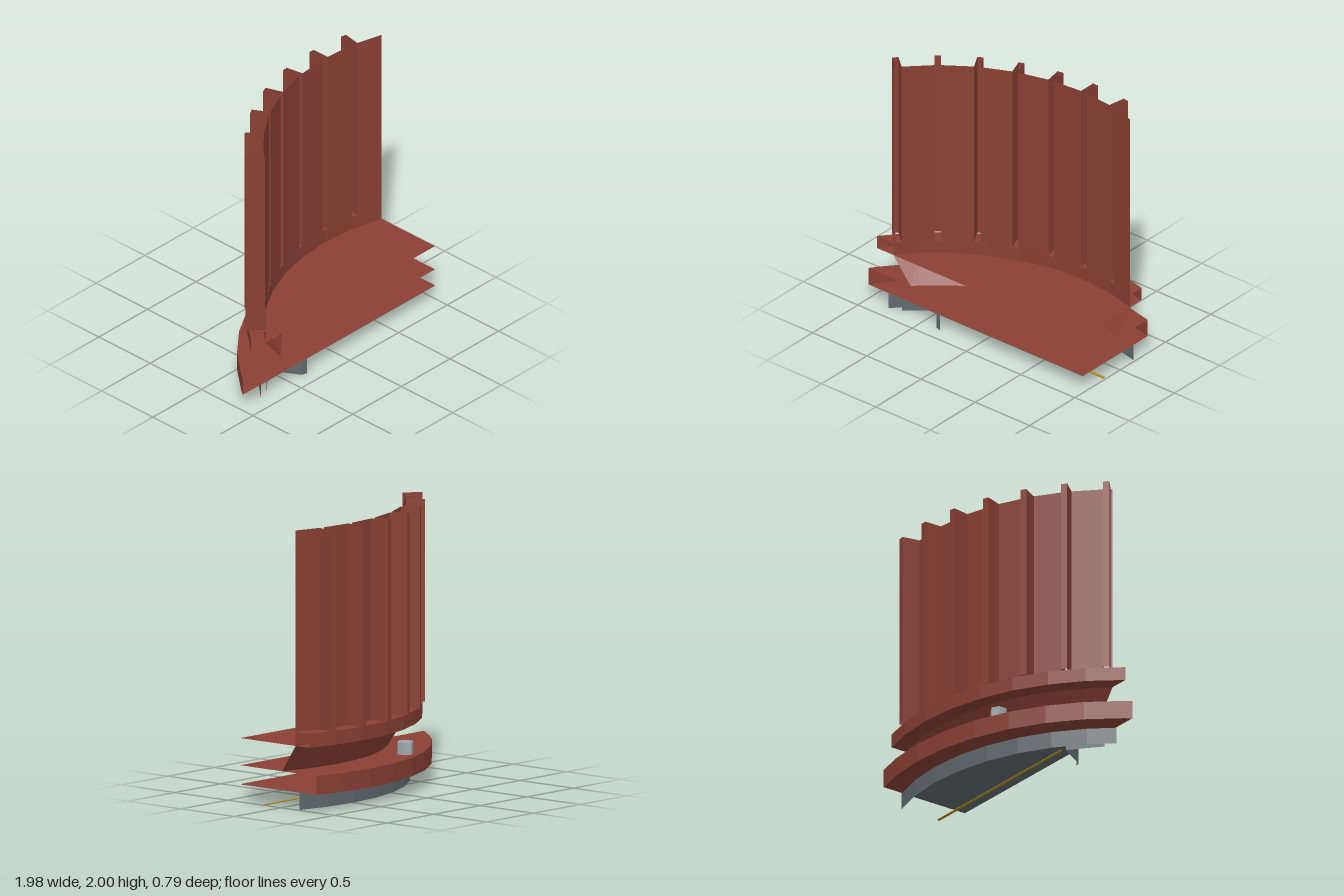
import * as THREE from 'three';

// Plan layout: arcs about (CX, CZ), cut off by the planes x = CUT_X and z = CUT_Z
const CX = 0.49, CZ = 1.395, CUT_X = 0.985, CUT_Z = 0.395;
const STEP = Math.PI / 20;

const mat = (color) => new THREE.MeshStandardMaterial({ color, flatShading: true, side: THREE.DoubleSide });

// Point at radius r and angle t, shifted by s along the tangent
const polar = (r, t, s = 0) => [CX - r * Math.sin(t) - s * Math.cos(t), CZ - r * Math.cos(t) + s * Math.sin(t)];
const startAngle = (r) => -Math.asin((CUT_X - CX) / r);
const endAngle = (r) => Math.acos((CZ - CUT_Z) / r);

// Faceted arc of radius r between the two cuts
function arc(r) {
  const pts = [polar(r, startAngle(r))];
  for (let k = -1; k <= 6; k++) if (k < 6 || endAngle(r) > 6.1 * STEP) pts.push(polar(r, k * STEP));
  pts.push(polar(r, endAngle(r)));
  return pts;
}

// Sheet spanning two plan polylines at heights y0 and y1
function sheet(a, y0, b, y1) {
  const pos = [], index = [];
  a.forEach(([x, z], i) => {
    pos.push(x, y0, z, b[i][0], y1, b[i][1]);
    if (i) {
      const n = 2 * i;
      index.push(n - 2, n, n - 1, n, n + 1, n - 1);
    }
  });
  const g = new THREE.BufferGeometry();
  g.setAttribute('position', new THREE.Float32BufferAttribute(pos, 3));
  g.setIndex(index);
  const flat = g.toNonIndexed();
  flat.computeVertexNormals();
  return flat;
}

// Flat floor filling the plan inside an arc
function disc(r, y) {
  const pts = [...arc(r), [CUT_X, CUT_Z]].map(([x, z]) => new THREE.Vector2(x, -z));
  return new THREE.ShapeGeometry(new THREE.Shape(pts)).rotateX(-Math.PI / 2).translate(0, y, 0);
}

export function createModel() {
  const model = new THREE.Group();
  const red = mat(0x8a4034), grey = mat(0x616a6e), steel = mat(0xa0abad), gold = mat(0xb08a20);
  const add = (name, geometry, material) => {
    const mesh = new THREE.Mesh(geometry, material);
    mesh.name = name;
    model.add(mesh);
    return mesh;
  };
  const band = (name, r0, y0, r1, y1, m = red) => add(name, sheet(arc(r0), y0, arc(r1), y1), m);

  // Base skirt with its cap
  band('baseSkirt', 1.635, 0, 1.635, 0.122, grey);
  add('baseCap', disc(1.635, 0.122), grey);

  // Folded bracket under the base
  const fold = [[-0.71, 0.36], [-0.5, 0.175], [-0.37, 0.385], [-0.33, 0.395]];
  add('baseBracket', sheet(fold, 0, fold, 0.122), grey);

  // Thin strip along the underside
  add('bottomStrip', new THREE.BoxGeometry(1.45, 0.006, 0.02).translate(0.26, 0.003, 0.16), gold);

  // Lower flange
  band('flangeRim', 1.787, 0.125, 1.787, 0.26);
  add('flangeBottom', disc(1.787, 0.125), red);
  add('flangeTop', disc(1.787, 0.26), red);

  // Tapered neck and the floor above it
  band('neck', 1.48, 0.26, 1.6, 0.455);
  add('floor', disc(1.6, 0.455), red);

  // Collar ring around the foot of the wall
  band('collarRim', 1.72, 0.455, 1.72, 0.555);
  band('collarBottom', 1.6, 0.455, 1.72, 0.455);
  band('collarTop', 1.6, 0.555, 1.72, 0.555);
  band('wallFoot', 1.6, 0.455, 1.6, 0.555);

  // Wall with hollow ribs folded outwards every ten degrees
  const rIn = 1.6, rOut = 1.735, half = 0.0225;
  const wall = [polar(rIn, startAngle(rIn))];
  for (let k = -1; k <= 5; k++) {
    const t = k * Math.PI / 18;
    wall.push(polar(rIn, t, -half), polar(rOut, t, -half), polar(rOut, t, half), polar(rIn, t, half));
  }
  wall.push(polar(rIn, endAngle(rIn)));
  add('ribbedWall', sheet(wall, 0.555, wall, 2), red);

  // Bolt head on the flange
  const [bx, bz] = polar(1.684, Math.PI / 8);
  add('bolt', new THREE.CylinderGeometry(0.06, 0.06, 0.09, 6), steel).position.set(bx, 0.305, bz);

  return model;
}
